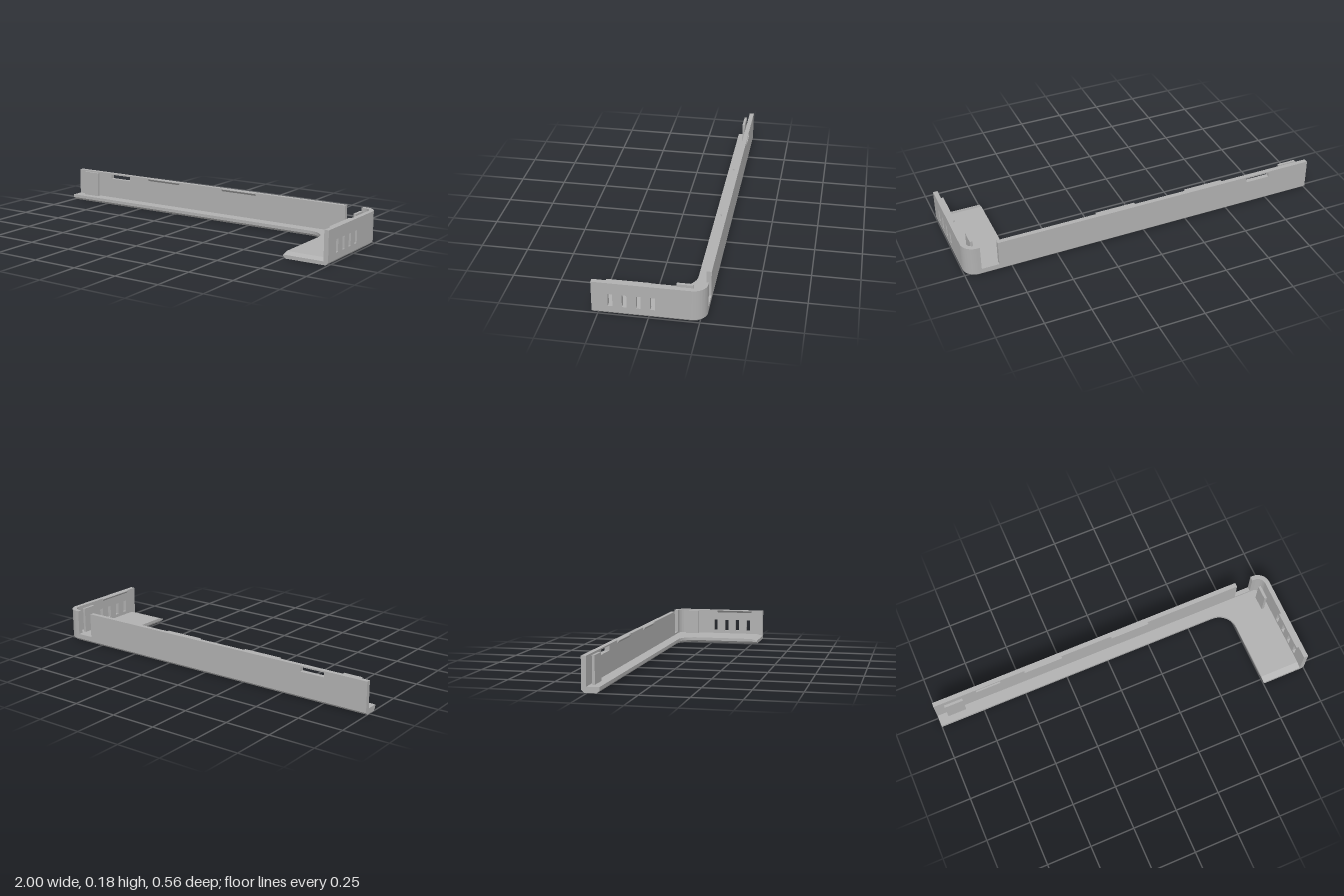
import * as THREE from 'three';
import { toCreasedNormals } from 'three/addons/utils/BufferGeometryUtils.js';

const H = 0.178, WALL = 0.025, CH = 0.013, FLOOR = 0.03, TIP = 0.245, STEPS = 14;

// Skin between matching rings, closed with flat caps; "flat" maps a point to 2D.
function loft(rings, flat) {
  const n = rings[0].length, index = [];
  for (let r = 0; r < rings.length - 1; r++) {
    for (let i = 0; i < n; i++) {
      const a = r * n + i, b = r * n + (i + 1) % n;
      index.push(a, b, b + n, a, b + n, a + n);
    }
  }
  const last = (rings.length - 1) * n;
  for (const [a, b, c] of THREE.ShapeUtils.triangulateShape(rings[0].map(flat), [])) {
    index.push(a, c, b, last + a, last + b, last + c);
  }
  const g = new THREE.BufferGeometry();
  g.setAttribute('position', new THREE.Float32BufferAttribute(rings.flat(2), 3));
  g.setIndex(index);
  return toCreasedNormals(g, 0.5);
}

// L-shaped floor outline at height y, long edges drawn in by "inset"
function floorRing(y, inset) {
  const p = [[-1, y, -0.19 - inset]];
  for (let i = 0; i <= STEPS; i++) {
    const t = i / STEPS * Math.PI / 2, r = 0.1 + inset;
    p.push([0.65 + r * Math.sin(t), y, -0.09 - r * Math.cos(t)]);
  }
  p.push([0.75 + inset, y, TIP], [1 - inset, y, TIP]);
  for (let i = 0; i <= STEPS; i++) {
    const t = i / STEPS * Math.PI / 2, r = 0.07 - inset;
    p.push([0.93 + r * Math.cos(t), y, -0.21 - r * Math.sin(t)]);
  }
  p.push([-1, y, -0.28 + inset]);
  return p;
}

const poly = pts => new THREE.Shape(pts.map(p => new THREE.Vector2(...p)));
const rect = (x0, y0, x1, y1) => [[x0, y0], [x1, y0], [x1, y1], [x0, y1]];
const extrude = (shape, depth) =>
  new THREE.ExtrudeGeometry(shape, { depth, bevelEnabled: false, curveSegments: STEPS });

export function createModel() {
  const model = new THREE.Group();
  model.name = 'cornerBracket';
  const grey = new THREE.MeshStandardMaterial({ color: 0xb0b0b0 });
  grey.name = 'grey plastic';
  const add = (name, geometry) => {
    const m = new THREE.Mesh(geometry, grey);
    m.name = name;
    model.add(m);
    return m;
  };
  const block = (name, x0, x1, y0, y1, z0, z1) =>
    add(name, new THREE.BoxGeometry(x1 - x0, y1 - y0, z1 - z0))
      .position.set((x0 + x1) / 2, (y0 + y1) / 2, (z0 + z1) / 2);

  // Floor with chamfered underside
  add('floor', loft([floorRing(0, CH), floorRing(CH, 0), floorRing(FLOOR, 0)],
    p => new THREE.Vector2(p[0], -p[2])));

  // Sloping end of the short arm
  const section = (z, top) => [[0.75 + CH, 0, z], [1 - CH, 0, z], [1, CH, z],
    [1, top, z], [0.75, top, z], [0.75, CH, z]];
  add('floorTip', loft([section(TIP, FLOOR), section(0.28, 0.019)],
    p => new THREE.Vector2(p[0], p[1])));

  // Long back wall with a slot and the low sill of the notch
  const back = poly([[-1, CH], [0.915, CH], [0.915, 0.04], [0.82, 0.04], [0.82, H], [-1, H]]);
  back.holes.push(poly(rect(-0.755, 0.145, -0.615, 0.17)));
  add('backWall', extrude(back, WALL)).position.z = -0.28;

  // Rounded corner wall
  const corner = new THREE.Shape();
  corner.moveTo(0.915, 0.28);
  corner.lineTo(0.93, 0.28);
  corner.absarc(0.93, 0.21, 0.07, Math.PI / 2, 0, true);
  corner.lineTo(1 - WALL, 0.21);
  corner.absarc(0.93, 0.21, 0.07 - WALL, 0, Math.PI / 2, false);
  corner.lineTo(0.915, 0.28 - WALL);
  const cornerGeo = extrude(corner, H - CH).rotateX(-Math.PI / 2);
  add('cornerWall', toCreasedNormals(cornerGeo, 0.5)).position.y = CH;

  // Side wall with four vents
  const side = poly(rect(-0.28, CH, 0.21, H));
  for (let i = 0; i < 4; i++) {
    const u = -0.187 + i * 0.0695;
    side.holes.push(poly(rect(u - 0.0115, 0.048, u + 0.0115, 0.116)));
  }
  add('sideWall', extrude(side, WALL).rotateY(Math.PI / 2)).position.x = 1 - WALL;

  // Snap ridges under the wall tops
  const ridge = length => extrude(poly([[0, H], [0, H - 0.015], [0.012, H - 0.003], [0.012, H]]), length);
  for (const x of [-0.25, 0.268]) {
    const r = add('backSnapRidge', ridge(0.222).rotateY(-Math.PI / 2));
    r.position.set(x, 0, -0.28 + WALL);
  }
  const s = add('sideSnapRidge', ridge(0.22).rotateY(Math.PI));
  s.position.set(1 - WALL, 0, 0.21);

  // Upright tabs standing just inside the walls
  block('backTab', -0.945, -0.84, FLOOR - 0.005, 0.173, -0.243, -0.229);
  block('sideTab', 0.931, 0.946, FLOOR - 0.005, 0.173, -0.208, -0.128);

  return model;
}
